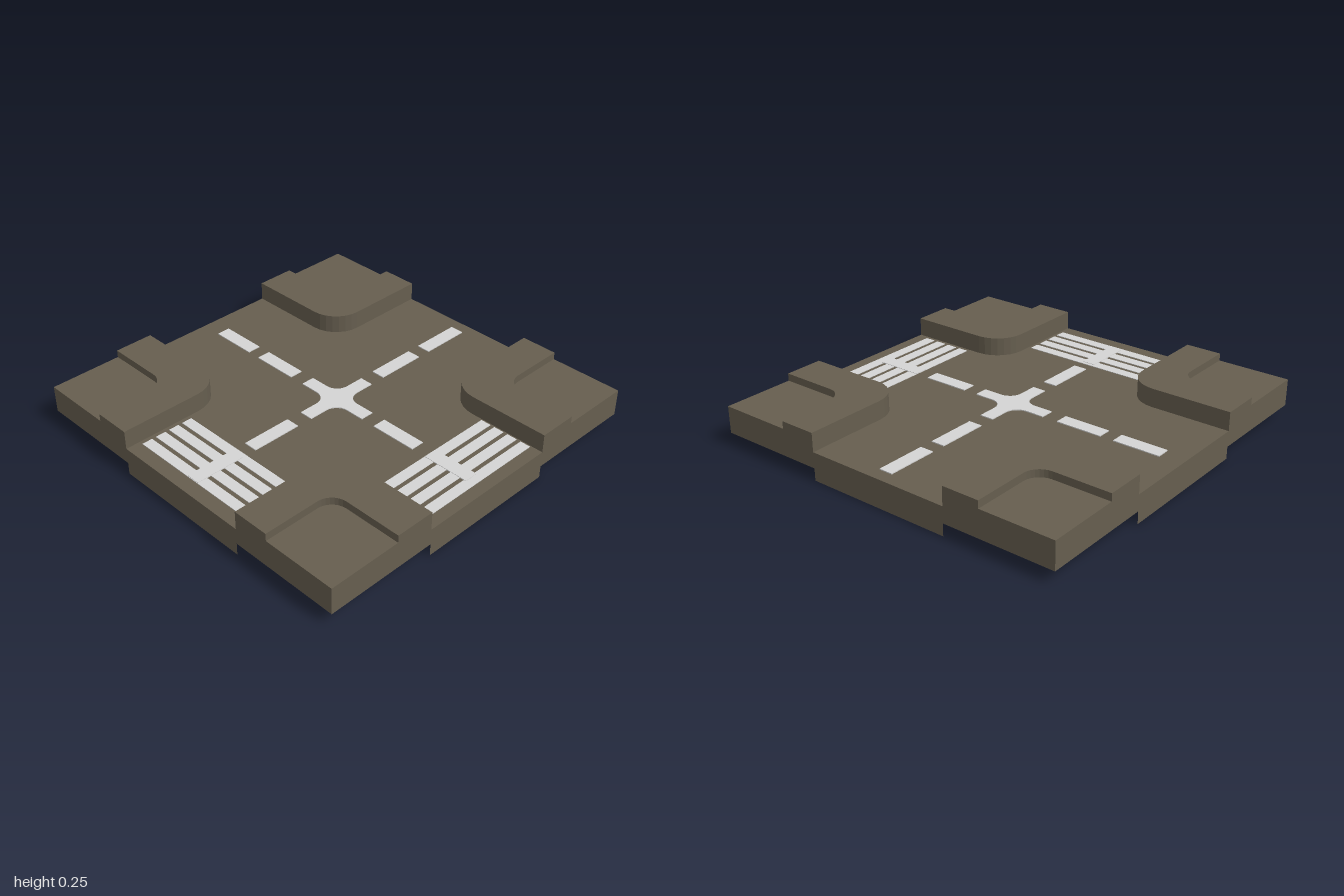
import * as THREE from 'three';

const UNDER = 0.065, ROAD = 0.15, PAD = 0.21, CURB = 0.25;
const EX = 0.393, EZ = 0.4;   // road half widths
const R = 0.165;              // curb corner radius
const PX = 0.607, PZ = 0.6, PR = 0.09; // sunken pad corner and radius

const concrete = new THREE.MeshStandardMaterial({ color: 0x665e4f, side: THREE.DoubleSide });
concrete.name = 'concrete';
const paint = new THREE.MeshStandardMaterial({ color: 0xd4d4d4 });
paint.name = 'road paint';

// Extrude a plan shape (x, z) between two heights
function slab(name, shape, bottom, top, material) {
  const geo = new THREE.ExtrudeGeometry(shape, { depth: top - bottom, bevelEnabled: false, curveSegments: 7 });
  geo.rotateX(Math.PI / 2);
  geo.translate(0, top, 0);
  const mesh = new THREE.Mesh(geo, material);
  mesh.name = name;
  return mesh;
}

// Line to a, then a quarter round to b that bends around the corner c
function roundTo(path, a, c, b) {
  const k = 0.5523;
  path.lineTo(a[0], a[1]);
  path.bezierCurveTo(
    a[0] + (c[0] - a[0]) * k, a[1] + (c[1] - a[1]) * k,
    b[0] + (c[0] - b[0]) * k, b[1] + (c[1] - b[1]) * k, b[0], b[1]);
}

// Plus-shaped outline with filleted inner corners, centred on (cx, cz)
function plusShape(half, wx, wz, r, cx = 0, cz = 0) {
  const s = new THREE.Shape();
  const p = (x, z) => [cx + x, cz + z];
  s.moveTo(...p(half, -wz));
  for (const [sx, sz] of [[1, 1], [-1, 1], [-1, -1], [1, -1]]) {
    const alongX = p(sx * (wx + r), sz * wz), alongZ = p(sx * wx, sz * (wz + r));
    const c = p(sx * wx, sz * wz);
    const endX = p(sx * half, sz * wz), endZ = p(sx * wx, sz * half);
    if (sx === sz) {
      s.lineTo(...endX);
      roundTo(s, alongX, c, alongZ);
      s.lineTo(...endZ);
    } else {
      s.lineTo(...endZ);
      roundTo(s, alongZ, c, alongX);
      s.lineTo(...endX);
    }
  }
  return s;
}

// Painted strip given by its plan rectangle
function strip(name, x0, x1, z0, z1, top) {
  const h = top - ROAD;
  const mesh = new THREE.Mesh(new THREE.BoxGeometry(x1 - x0, h, z1 - z0), paint);
  mesh.position.set((x0 + x1) / 2, ROAD + h / 2, (z0 + z1) / 2);
  mesh.name = name;
  return mesh;
}

function corner(sx, sz) {
  const g = new THREE.Group();
  g.name = 'pavementCorner';
  const p = (x, z) => [sx * x, sz * z];

  // Raised L-shaped kerb
  const kerb = new THREE.Shape();
  kerb.moveTo(...p(1, EZ));
  roundTo(kerb, p(EX + R, EZ), p(EX, EZ), p(EX, EZ + R));
  kerb.lineTo(...p(EX, 1));
  kerb.lineTo(...p(PX, 1));
  roundTo(kerb, p(PX, PZ + PR), p(PX, PZ), p(PX + PR, PZ));
  kerb.lineTo(...p(1, PZ));
  g.add(slab('kerb', kerb, UNDER, CURB, concrete));

  // Lower plot behind the kerb
  const plot = new THREE.Shape();
  plot.moveTo(...p(1, 1));
  plot.lineTo(...p(PX, 1));
  roundTo(plot, p(PX, PZ + PR), p(PX, PZ), p(PX + PR, PZ));
  plot.lineTo(...p(1, PZ));
  g.add(slab('plot', plot, UNDER, PAD, concrete));
  return g;
}

export function createModel() {
  const model = new THREE.Group();
  model.name = 'crossroads';

  model.add(slab('road', plusShape(1, EX, EZ, R), UNDER, ROAD, concrete));
  for (const sx of [-1, 1]) for (const sz of [-1, 1]) model.add(corner(sx, sz));

  // Thin skirts hanging below the four road ends
  for (let i = 0; i < 4; i++) {
    const skirt = new THREE.Mesh(new THREE.PlaneGeometry(i % 2 ? 2 * EZ : 2 * EX, UNDER), concrete);
    const a = i * Math.PI / 2;
    skirt.position.set(Math.sin(a), UNDER / 2, Math.cos(a));
    skirt.rotation.y = a;
    skirt.name = 'roadEndSkirt';
    model.add(skirt);
  }

  // Centre lines
  const lines = new THREE.Group();
  lines.name = 'centreLines';
  for (const [a, b] of [[-0.92, -0.645], [-0.57, -0.295], [0.305, 0.58], [0.655, 0.93]])
    lines.add(strip('dashAcross', a, b, -0.035, 0.04, ROAD + 0.005));
  for (const [a, b] of [[-0.88, -0.625], [-0.55, -0.295], [0.3, 0.555], [0.635, 0.89]])
    lines.add(strip('dashAlong', -0.033, 0.042, a, b, ROAD + 0.005));
  lines.add(slab('centreCross', plusShape(0.213, 0.037, 0.037, 0.07, 0.005, 0.005), ROAD, ROAD + 0.005, paint));
  model.add(lines);

  // Zebra crossings on the right and front arms
  const crossings = new THREE.Group();
  crossings.name = 'zebraCrossings';
  for (let i = 0; i < 4; i++) {
    const x = -0.923 + i * 0.08, z = 0.634 + i * 0.081;
    crossings.add(strip('rightStripe', x, x + 0.057, -0.375, 0.38, ROAD + 0.003));
    crossings.add(strip('frontStripe', -0.37, 0.383, z, z + 0.057, ROAD + 0.003));
  }
  model.add(crossings);
  return model;
}
